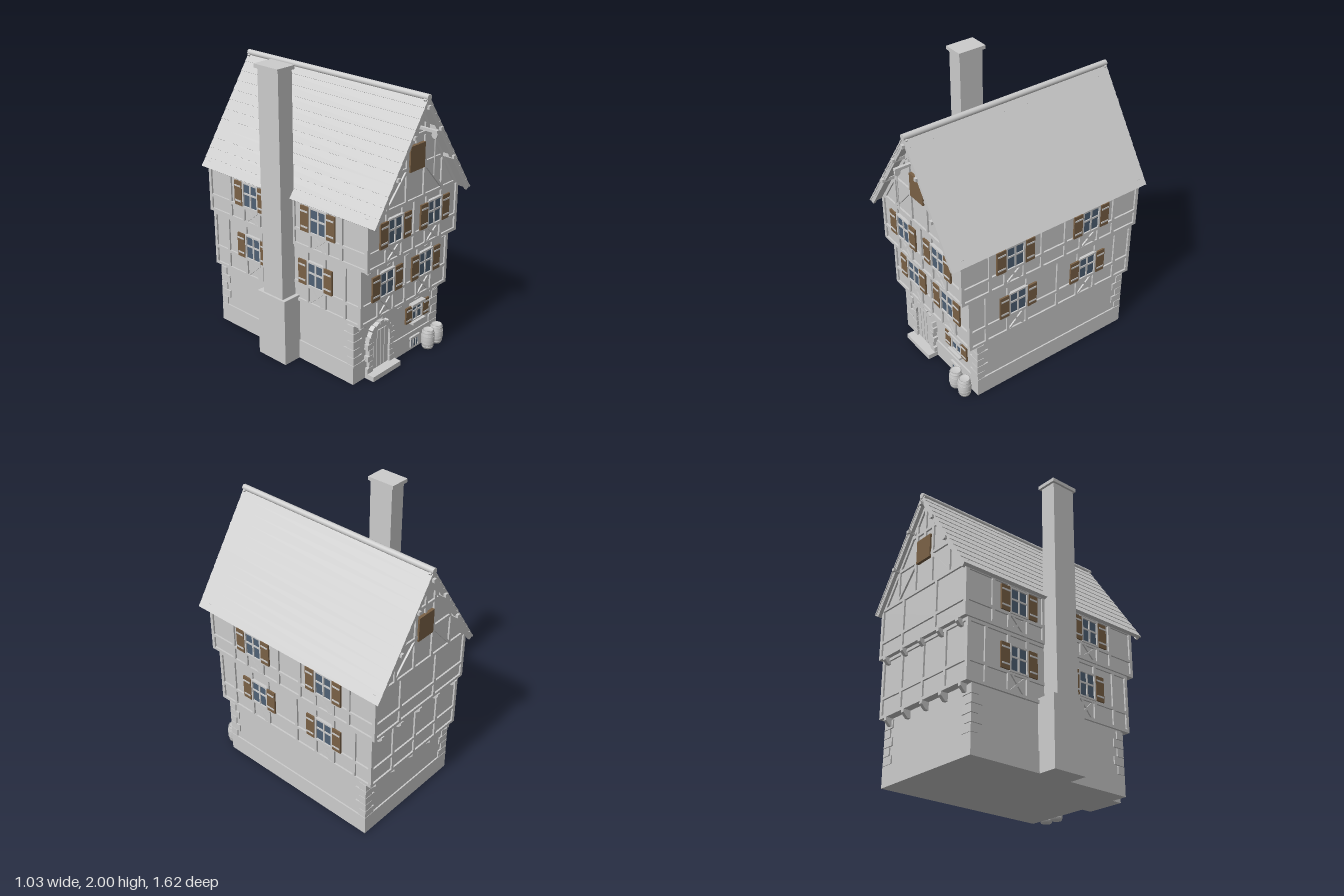
import * as THREE from 'three';

const CX = 0.045; // centre line of the house

export function createModel() {
  const mat = (name, color) => Object.assign(new THREE.MeshStandardMaterial({ color }), { name });
  const plaster = mat('plaster grey', 0xcccccc);
  const wood = mat('shutter brown', 0x7a6146);
  const glass = mat('window blue', 0x4f6175);
  const house = new THREE.Group();
  house.name = 'house';

  const add = (parent, name, geo, x = 0, y = 0, z = 0, m = plaster) => {
    const o = new THREE.Mesh(geo, m);
    o.name = name;
    o.position.set(x, y, z);
    parent.add(o);
    return o;
  };
  const box = (parent, name, w, h, d, x, y, z, m) =>
    add(parent, name, new THREE.BoxGeometry(w, h, d), x, y, z, m);
  // Box given by its limits
  const span = (name, x0, x1, y0, y1, z0, z1, m) =>
    box(house, name, x1 - x0, y1 - y0, z1 - z0, (x0 + x1) / 2, (y0 + y1) / 2, (z0 + z1) / 2, m);
  // A wall plane whose local z points outwards
  const face = (name, x, z, turn) => {
    const g = new THREE.Group();
    g.name = name;
    g.position.set(x, 0, z);
    g.rotation.y = turn;
    house.add(g);
    return g;
  };
  // Timber from one point of a wall plane to another
  const beam = (f, x0, y0, x1, y1, t = 0.02, d = 0.024) => {
    const b = box(f, 'timber', Math.hypot(x1 - x0, y1 - y0), t, d, (x0 + x1) / 2, (y0 + y1) / 2, 0);
    b.rotation.z = Math.atan2(y1 - y0, x1 - x0);
  };
  const windowUnit = (f, x, y, w, h, sw) => {
    const g = new THREE.Group();
    g.name = 'window';
    g.position.set(x, y, 0);
    f.add(g);
    box(g, 'pane', w, h, 0.008, 0, 0, 0.006, glass);
    for (const s of [-1, 1]) {
      box(g, 'frameSide', 0.012, h, 0.03, s * w / 2, 0, 0.005);
      box(g, 'frameRail', w + 0.012, 0.012, 0.03, 0, s * h / 2, 0.005);
      box(g, 'shutter', sw, h, 0.012, s * (w / 2 + 0.008 + sw / 2), 0, 0.016, wood);
      for (const k of [-1, 1])
        box(g, 'shutterBatten', sw - 0.012, 0.011, 0.006, s * (w / 2 + 0.008 + sw / 2), k * h * 0.31, 0.023);
    }
    box(g, 'mullion', 0.012, h, 0.012, 0, 0, 0.01);
    box(g, 'transom', w, 0.012, 0.012, 0, h * 0.06, 0.01);
  };
  // One timbered storey of a wall: rails, posts, windows with crossed braces below
  const storey = (f, half0, half1, y0, yRail, y1, posts, windows) => {
    for (const y of [y0 + 0.01, yRail, y1 - 0.01]) beam(f, half0, y, half1, y);
    for (const x of [half0 + 0.01, half1 - 0.01, ...posts]) beam(f, x, y0, x, y1);
    for (const x of windows) {
      for (const s of [-1, 1]) {
        beam(f, x + s * 0.075, y0, x + s * 0.075, y1);
        beam(f, x - 0.065, yRail - s * (yRail - y0) * 0.5 - (yRail - y0) * 0.4,
          x + 0.065, yRail + s * (yRail - y0) * 0.5 - (yRail - y0) * 0.5, 0.015, 0.02);
      }
      windowUnit(f, x, yRail + 0.095, 0.135, 0.17, 0.07);
    }
  };

  // Stone base and storey bodies
  span('plinth', -0.385, 0.475, 0, 0.135, -0.695, 0.55);
  span('groundFloor', -0.375, 0.465, 0.135, 0.435, -0.685, 0.54);
  span('middleFloor', CX - 0.4225, CX + 0.4225, 0.435, 0.835, -0.725, 0.598);
  const gable = new THREE.Shape([[-0.43, 0.835], [0.43, 0.835], [0.43, 1.165], [0, 1.81], [-0.43, 1.165]]
    .map(p => new THREE.Vector2(...p)));
  add(house, 'upperFloor', new THREE.ExtrudeGeometry(gable, { depth: 1.403, bevelEnabled: false }), CX, 0, -0.75);

  // Corner stones, alternating long and short
  for (let i = 0; i < 5; i++)
    for (const sx of [-1, 1])
      for (const sz of [-1, 1]) {
        const w = i % 2 ? 0.06 : 0.085, d = i % 2 ? 0.085 : 0.055;
        box(house, 'cornerStone', w, 0.054, d, CX + sx * (0.429 - w / 2), 0.165 + i * 0.058,
          -0.0725 + sz * (0.622 - d / 2));
      }

  // Front and back timber walls
  const ends = [
    ['front', 0.54, 0.598, 0.653, 0],
    ['back', -0.685, -0.725, -0.75, Math.PI]];
  const tri = d => new THREE.ExtrudeGeometry(
    new THREE.Shape([[0, 0], [0, -d], [0.02, -d], [d, -0.02], [d, 0]].map(p => new THREE.Vector2(...p))),
    { depth: 0.025, bevelEnabled: false });
  for (const [name, zg, z1, z2, turn] of ends) {
    const front = turn === 0;
    const wins = front ? [-0.19, 0.195] : [];
    const f1 = face(name + 'MiddleWall', CX, z1, turn);
    const f2 = face(name + 'UpperWall', CX, z2, turn);
    storey(f1, -0.434, 0.434, 0.435, 0.57, 0.832, front ? [0] : [-0.22, 0, 0.22], wins);
    storey(f2, -0.442, 0.442, 0.835, 0.95, 1.195, front ? [0] : [-0.2, 0.14], wins);
    // Gable framing
    beam(f2, -0.27, 1.405, 0.27, 1.405);
    beam(f2, -0.125, 1.6, 0.125, 1.6);
    beam(f2, 0, 1.55, 0, 1.8);
    for (const s of [-1, 1]) {
      beam(f2, s * 0.086, 1.19, s * 0.086, 1.67);
      beam(f2, s * 0.265, 1.19, s * 0.265, 1.4);
      beam(f2, s * 0.09, 1.39, s * 0.26, 1.2, 0.016);
      beam(f2, s * 0.41, 1.185, s * 0.01, 1.785, 0.022);
    }
    box(f2, 'loftHatch', 0.14, 0.165, 0.02, 0, 1.463, 0.01, wood);
    // Jetty brackets
    for (const [zw, y, d] of [[zg, 0.435, 0.052], [z1, 0.835, 0.045]]) {
      const g = face(name + 'Brackets', CX, zw, turn);
      for (let i = -2; i <= 2; i++)
        add(g, 'bracket', tri(d), i * 0.185 + 0.0125, y, 0).rotation.y = -Math.PI / 2;
    }
  }

  // Side timber walls, mirrored
  for (const s of [1, -1]) {
    const n = s > 0 ? 'left' : 'right';
    const put = (hw, z0, z1, y0, yr, y1, posts, wins) => {
      const u = z => -s * z;
      const lim = [u(z0), u(z1)].sort((a, b) => a - b);
      storey(face(n + 'SideWall', CX + s * hw, 0, s * Math.PI / 2), ...lim, y0, yr, y1, posts.map(u), wins.map(u));
    };
    put(0.4225, -0.737, 0.61, 0.435, 0.57, 0.832, [0.475, -0.1, -0.595], [0.23, -0.345]);
    put(0.43, -0.762, 0.665, 0.835, 0.95, 1.165, [0.45, 0.045, -0.145, -0.55], [0.26, -0.35]);
  }

  // Roof of overlapping tile courses
  const slope = Math.atan2(0.7, 0.465), len = 0.84, rows = 12;
  for (const s of [-1, 1]) {
    const g = new THREE.Group();
    g.name = 'roofSlope';
    g.position.set(CX, 1.855, -0.03);
    g.rotation.z = -s * slope;
    house.add(g);
    box(g, 'roofBoards', len, 0.016, 1.53, s * len / 2, -0.012, 0);
    for (let i = 0; i < rows; i++) {
      const c = box(g, 'tileCourse', len / rows + 0.006, 0.008, 1.54, s * (i + 0.5) * len / rows, -0.002, 0);
      c.rotation.z = s * 0.05;
    }
    for (const z of [-0.755, 0.755]) box(g, 'bargeBoard', len, 0.03, 0.018, s * len / 2, -0.018, z);
  }
  add(house, 'ridge', new THREE.CylinderGeometry(0.02, 0.02, 1.545, 16), CX, 1.85, -0.03).rotation.x = Math.PI / 2;
  for (const [x, y] of [[-0.27, 1.41], [-0.125, 1.63], [0, 1.79], [0.125, 1.63], [0.27, 1.41]])
    box(house, 'purlin', 0.022, 0.022, 1.563, CX + x, y, -0.03);

  // Hoist over the loft hatch
  span('hoistBeam', CX - 0.01, CX + 0.01, 1.645, 1.663, 0.6, 0.81);
  add(house, 'pulley', new THREE.CylinderGeometry(0.02, 0.02, 0.012, 16), CX, 1.63, 0.79).rotation.z = Math.PI / 2;
  add(house, 'rope', new THREE.CylinderGeometry(0.004, 0.004, 0.25, 8), CX, 1.505, 0.795);

  // Chimney
  span('chimneyBase', -0.515, -0.36, 0, 0.47, -0.178, 0.07);
  span('chimneyShaft', -0.5, -0.385, 0.47, 1.975, -0.135, 0.04);
  span('chimneyCap', -0.515, -0.372, 1.975, 2, -0.152, 0.052);

  // Arched door with stone surround and step
  const door = face('door', -0.137, 0.55, 0);
  const arch = new THREE.Shape();
  arch.moveTo(-0.088, 0.03);
  arch.lineTo(0.088, 0.03);
  arch.lineTo(0.088, 0.25);
  arch.absarc(0, 0.25, 0.088, 0, Math.PI, false);
  add(door, 'doorLeaf', new THREE.ExtrudeGeometry(arch, { depth: 0.014, bevelEnabled: false }), 0, 0, -0.008);
  for (const x of [-0.054, -0.018, 0.018, 0.054]) box(door, 'doorPlank', 0.031, 0.27, 0.008, x, 0.175, 0.009);
  for (const s of [-1, 1])
    for (let i = 0; i < 5; i++) {
      const w = i % 2 ? 0.036 : 0.05;
      box(door, 'jambStone', w, 0.04, 0.045, s * (0.083 + w / 2), 0.055 + i * 0.043, 0);
    }
  for (let i = 0; i < 9; i++) {
    const a = (i + 0.5) * Math.PI / 9, h = i % 2 ? 0.034 : 0.042;
    box(door, 'archStone', h, 0.036, 0.045, Math.cos(a) * (0.083 + h / 2), 0.25 + Math.sin(a) * (0.083 + h / 2), 0)
      .rotation.z = a;
  }
  span('doorStep', -0.272, 0, 0, 0.035, 0.53, 0.625);

  // Ground floor window and cellar opening
  const lower = face('groundWall', 0.245, 0.54, 0);
  windowUnit(lower, 0, 0.285, 0.105, 0.118, 0.06);
  box(lower, 'lintel', 0.135, 0.018, 0.05, 0, 0.347, 0.01);
  box(lower, 'sill', 0.135, 0.016, 0.06, 0, 0.216, 0.012);
  span('cellarPane', 0.19, 0.268, 0.02, 0.085, 0.548, 0.554, glass);
  span('cellarLintel', 0.18, 0.278, 0.085, 0.102, 0.54, 0.565);
  for (const x of [0.19, 0.216, 0.242, 0.268]) span('cellarBar', x - 0.003, x + 0.003, 0.02, 0.088, 0.55, 0.56);

  // Barrels
  const stave = [[0, 0], [0.037, 0], [0.044, 0.035], [0.047, 0.067], [0.044, 0.1], [0.037, 0.135], [0.033, 0.135],
    [0.033, 0.128], [0, 0.128]].map(p => new THREE.Vector2(...p));
  for (const [x, z] of [[0.307, 0.61], [0.404, 0.607]]) {
    add(house, 'barrel', new THREE.LatheGeometry(stave, 18), x, 0, z);
    for (const [y, r] of [[0.018, 0.042], [0.045, 0.0465], [0.09, 0.0465], [0.117, 0.042]])
      add(house, 'barrelHoop', new THREE.CylinderGeometry(r, r, 0.009, 18), x, y, z);
  }
  return house;
}
